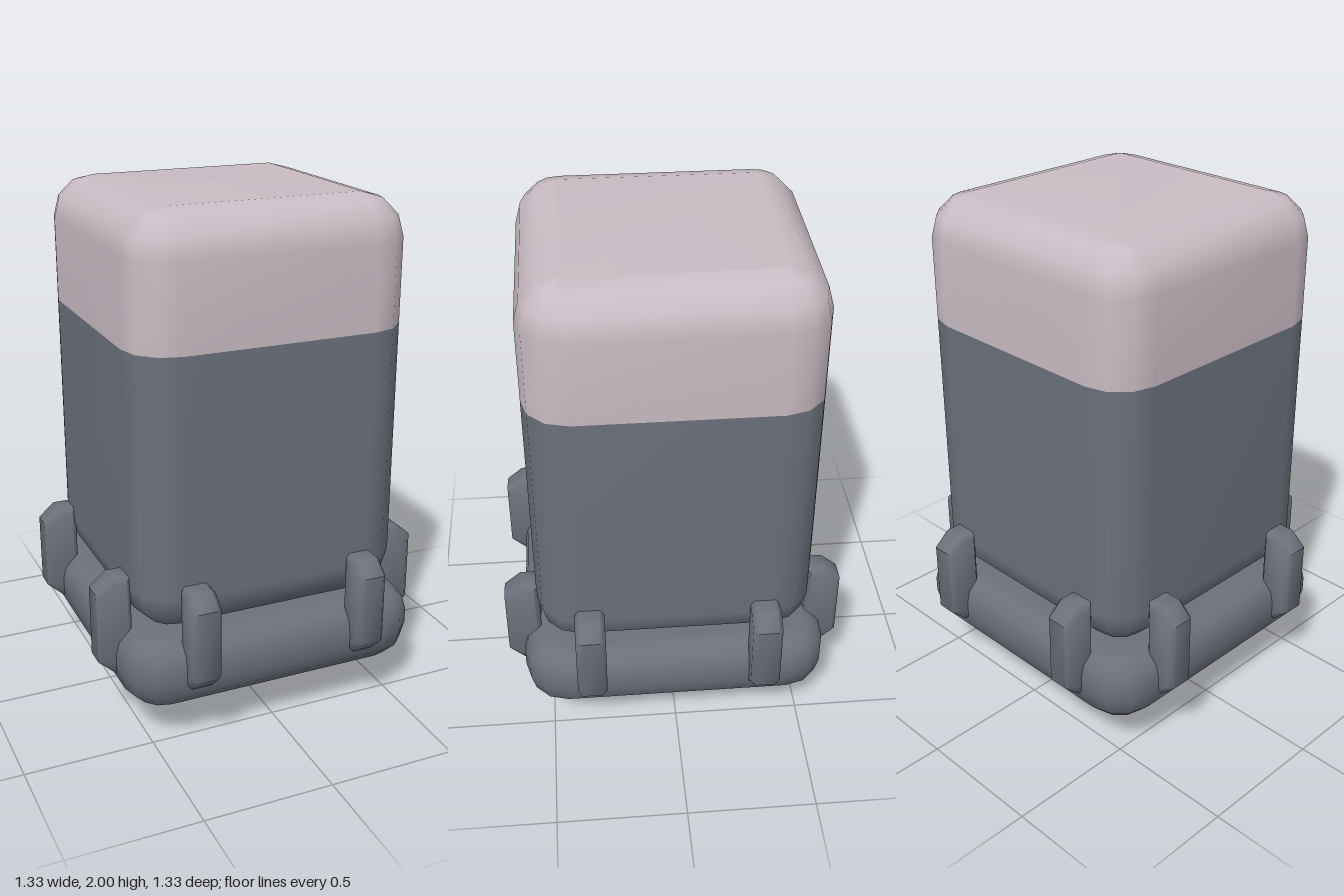
import * as THREE from 'three';
import { toCreasedNormals } from 'three/addons/utils/BufferGeometryUtils.js';

const mat = (name, color) => new THREE.MeshStandardMaterial({ name, color });

// Stack of rounded-square rings; profile rows are [inset, y] from bottom to top.
function loft(half, radius, profile, capBottom, capTop) {
  const pos = [], idx = [], seg = 3, n = 4 * (seg + 1);
  for (const [inset, y] of profile) {
    const r = radius - inset, c = half - radius;
    for (let q = 0; q < 4; q++) {
      const m = (q + 0.5) * Math.PI / 2;
      const cx = Math.sign(Math.cos(m)) * c, cz = Math.sign(Math.sin(m)) * c;
      for (let s = 0; s <= seg; s++) {
        const a = (q + s / seg) * Math.PI / 2;
        pos.push(cx + r * Math.cos(a), y, cz + r * Math.sin(a));
      }
    }
  }
  const last = (profile.length - 1) * n;
  for (let i = 0; i < last; i += n) {
    for (let j = 0; j < n; j++) {
      const k = (j + 1) % n;
      idx.push(i + j, i + n + j, i + k, i + k, i + n + j, i + n + k);
    }
  }
  for (let j = 1; j < n - 1; j++) {
    if (capBottom) idx.push(0, j, j + 1);
    if (capTop) idx.push(last, last + j + 1, last + j);
  }
  const g = new THREE.BufferGeometry();
  g.setAttribute('position', new THREE.Float32BufferAttribute(pos, 3));
  g.setIndex(idx);
  g.computeVertexNormals();
  return g;
}

// Quarter-round profile rows for a bottom (dir = 1) or top (dir = -1) edge.
function fillet(r, y, dir) {
  const rows = [];
  for (let s = 0; s <= 3; s++) {
    const a = s / 3 * Math.PI / 2;
    rows.push([r * (1 - Math.sin(a)), y + dir * r * (1 - Math.cos(a))]);
  }
  return dir > 0 ? rows : rows.reverse();
}

function bevelled(points, depth, bevel) {
  const shape = new THREE.Shape(points.map(([x, y]) => new THREE.Vector2(x, y)));
  const g = new THREE.ExtrudeGeometry(shape, {
    depth: depth - 2 * bevel, bevelEnabled: true, bevelThickness: bevel,
    bevelSize: bevel, bevelOffset: -bevel, bevelSegments: 1,
  });
  g.translate(0, 0, bevel - depth / 2);
  return toCreasedNormals(g, 0.85);
}

export function createModel() {
  const model = new THREE.Group();
  const grey = mat('slate grey', 0x6b707b);
  const pink = mat('pale pink', 0xc9bbc3);
  const blue = mat('blue', 0x4c67bd);
  const add = (name, geometry, material, parent = model) => {
    const m = new THREE.Mesh(geometry, material);
    m.name = name;
    parent.add(m);
    return m;
  };

  // Tall rounded body with a pale cap
  add('body', loft(0.54, 0.17, [...fillet(0.16, 0.44, 1), [0, 1.52]], true, false), grey);
  add('cap', loft(0.54, 0.17, [[0, 1.52], ...fillet(0.16, 2, -1)], false, true), pink);

  // Rounded base slab
  add('base', loft(0.6, 0.165, [...fillet(0.13, 0.155, 1), ...fillet(0.1, 0.445, -1)], true, true), grey);

  // Round foot under the base
  const foot = [[0, 0.08], [0.375, 0.08], [0.375, 0.08], [0.4, 0.1], [0.4, 0.18]];
  const footGeo = new THREE.LatheGeometry(foot.map(([x, y]) => new THREE.Vector2(x, y)), 12);
  add('foot', toCreasedNormals(footGeo, 0.75), grey);

  // Cross-shaped connector on the underside
  const a = 0.06, b = 0.2;
  const cross = [[b, -a], [b, a], [a, a], [a, b], [-a, b], [-a, a],
    [-b, a], [-b, -a], [-a, -a], [-a, -b], [a, -b], [a, -a]];
  const connector = add('connector', bevelled(cross, 0.1, 0.02), blue);
  connector.rotation.x = Math.PI / 2;
  connector.position.y = 0.05;

  // Two clips on each of the four sides
  const clipGeo = bevelled([[0.53, 0.26], [0.6, 0.26], [0.665, 0.32],
    [0.665, 0.6], [0.6, 0.655], [0.53, 0.655]], 0.115, 0.018);
  for (let side = 0; side < 4; side++) {
    const clips = new THREE.Group();
    clips.name = 'clipPair';
    clips.rotation.y = side * Math.PI / 2;
    for (const z of [-0.338, 0.338]) add('clip', clipGeo, grey, clips).position.z = z;
    model.add(clips);
  }
  return model;
}
